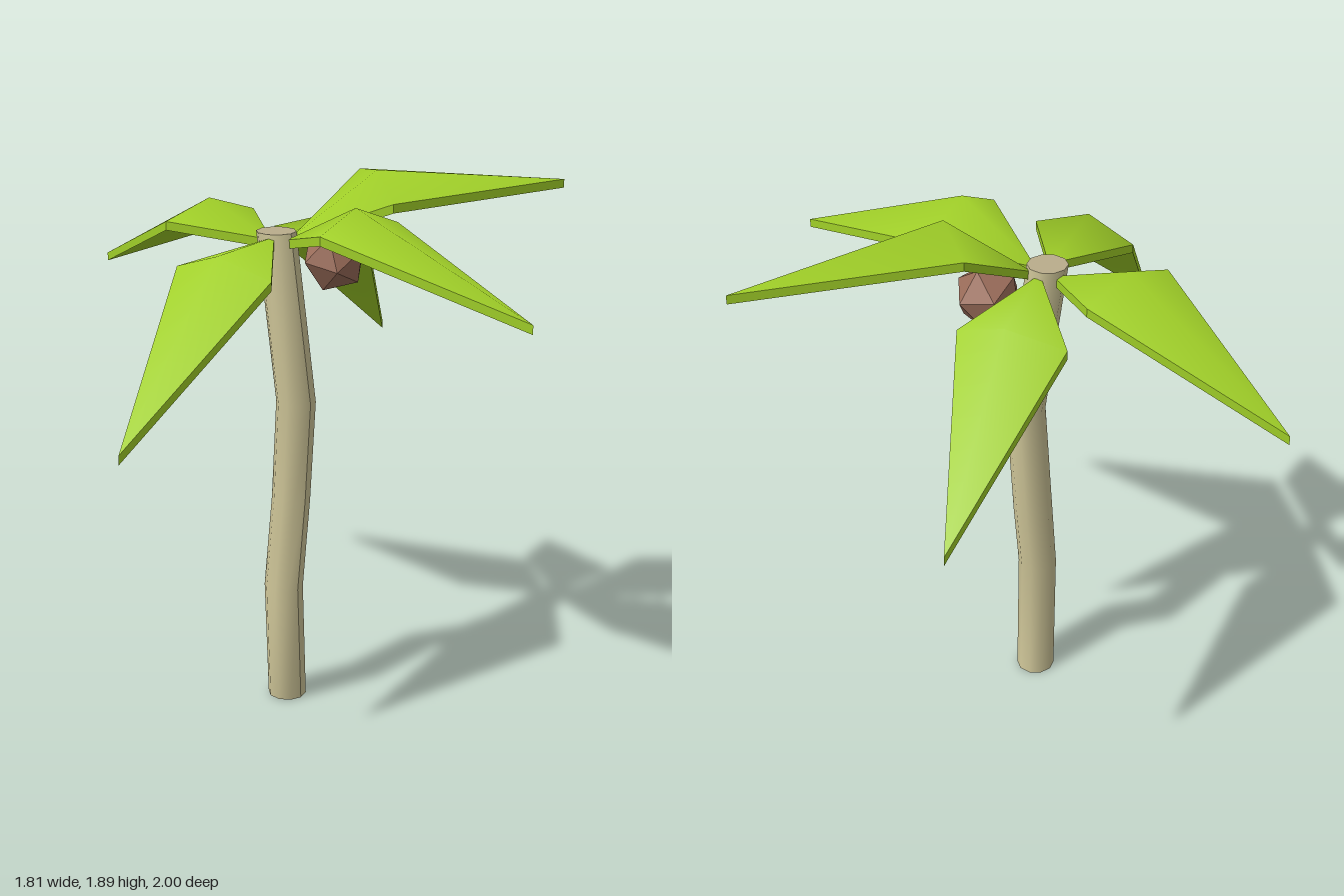
import * as THREE from 'three';

const material = (name, color) => {
  const m = new THREE.MeshStandardMaterial({ color });
  m.name = name;
  return m;
};

// Leaf plate: a four-cornered outline fanned around a raised middle point, given a thickness.
// Outline runs counterclockwise seen from above: base, side, tip, side.
function leafGeometry(outline, middle, thick = 0.03) {
  const pos = [], index = [];
  const add = ([x, y, z], drop = 0) => pos.push(x, y - drop, z) / 3 - 1;
  for (const drop of [0, thick]) {
    const c = add(middle, drop);
    outline.forEach((p) => add(p, drop));
    for (let i = 0; i < 4; i++) {
      const a = c + 1 + i, b = c + 1 + ((i + 1) % 4);
      index.push(c, ...(drop ? [b, a] : [a, b]));
    }
  }
  // edge walls with their own vertices, so the rim stays sharp
  outline.forEach((p, i) => {
    const q = outline[(i + 1) % 4];
    const a = add(p), b = add(q), c = add(q, thick), d = add(p, thick);
    index.push(a, d, c, a, c, b);
  });
  const g = new THREE.BufferGeometry();
  g.setAttribute('position', new THREE.Float32BufferAttribute(pos, 3));
  g.setIndex(index);
  g.computeVertexNormals();
  return g;
}

export function createModel() {
  const bark = material('bark', 0xcdc497);
  const cutWood = material('cut wood', 0xb9ad8b);
  const leafGreen = material('leaf green', 0xa0cf28);
  const nutBrown = material('nut brown', 0x9a6c59);

  const model = new THREE.Group();
  model.name = 'palmTree';
  const addMesh = (name, geometry, mat) => {
    const mesh = new THREE.Mesh(geometry, mat);
    mesh.name = name;
    model.add(mesh);
    return mesh;
  };

  // Crooked trunk: a cylinder whose rings are moved to these centres (bottom to top)
  const rings = [
    [-0.01, 0, 0.012], [-0.052, 0.445, 0.035], [0.032, 0.74, -0.01],
    [-0.012, 1.12, 0.055], [-0.014, 1.695, -0.035],
  ];
  const trunk = new THREE.CylinderGeometry(0.068, 0.068, 4, 10, 4);
  const p = trunk.attributes.position;
  for (let i = 0; i < p.count; i++) {
    const [x, y, z] = rings[Math.round(p.getY(i) + 2)];
    p.setXYZ(i, p.getX(i) + x, y, p.getZ(i) + z);
  }
  trunk.computeVertexNormals();
  addMesh('trunk', trunk, [bark, cutWood, cutWood]);

  // Leaves: base, side, tip, side, then the raised middle
  const leaves = {
    frontLeaf: [[-0.01, 1.67, 0.01], [-0.185, 1.755, 0.32], [0.015, 1.56, 1], [0.19, 1.745, 0.32], [-0.03, 1.825, 0.33]],
    backLeaf: [[-0.01, 1.66, -0.06], [0.165, 1.705, -0.32], [0.065, 1.455, -1], [-0.2, 1.705, -0.375], [-0.02, 1.765, -0.35]],
    rightLeaf: [[-0.04, 1.68, -0.02], [-0.4, 1.63, -0.105], [-0.905, 1.18, 0.17], [-0.345, 1.63, 0.265], [-0.4, 1.69, 0.08]],
    upperLeftLeaf: [[0.02, 1.67, 0], [0.19, 1.8, 0.3], [0.905, 1.81, 0.47], [0.38, 1.855, -0.015], [0.25, 1.89, 0.175]],
    lowerLeftLeaf: [[0.02, 1.67, -0.03], [0.4, 1.625, 0.005], [0.86, 1.165, -0.31], [0.29, 1.62, -0.34], [0.375, 1.675, -0.165]],
  };
  for (const [name, points] of Object.entries(leaves)) {
    addMesh(name, leafGeometry(points.slice(0, 4), points[4]), leafGreen);
  }

  // Faceted nut under the leaves
  const nut = addMesh('coconut', new THREE.IcosahedronGeometry(0.115, 0), nutBrown);
  nut.position.set(0.13, 1.6, 0.095);
  nut.rotation.set(0.2, 0.3, 0.1);

  return model;
}
